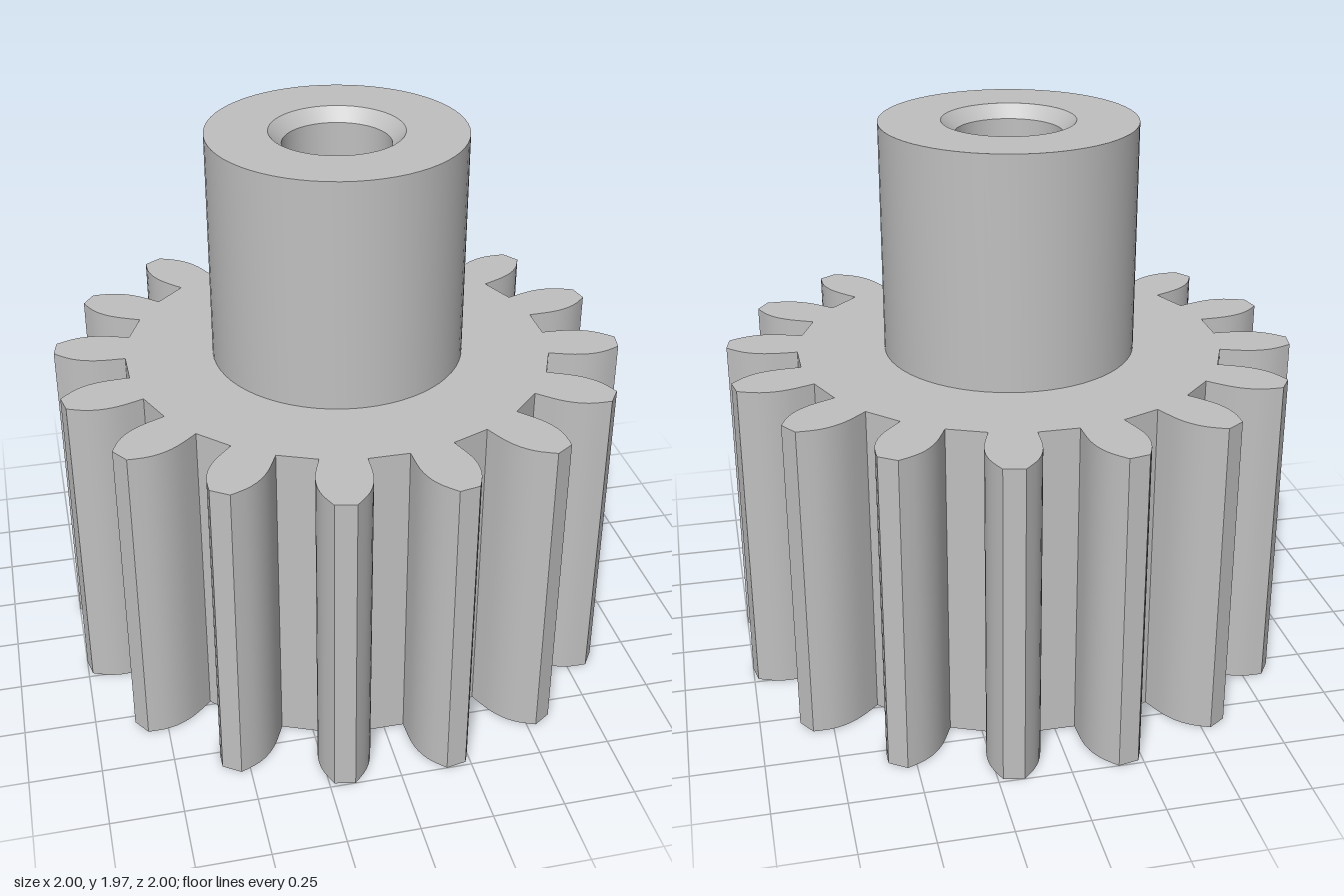
import * as THREE from 'three';
import { toCreasedNormals } from 'three/addons/utils/BufferGeometryUtils.js';

const TEETH = 16, GEAR_TOP = 1.15, COLLAR_TOP = 1.97;
const COLLAR_R = 0.447, BORE_R = 0.187, FLAT_Z = 0.085, POCKET_TOP = 1.0;

// Closed gear outline as (x, z), running from the front towards +x
function gearOutline() {
  // One flank: half width across the tooth, distance from the centre
  const flank = new THREE.SplineCurve([
    [0.0785, 0.754], [0.089, 0.82], [0.092, 0.87],
    [0.085, 0.92], [0.067, 0.965], [0.036, 1.012],
  ].map(([w, r]) => new THREE.Vector2(w, r))).getPoints(10);
  const tooth = [
    ...flank.map(p => [-p.x, p.y]),
    ...flank.slice().reverse().map(p => [p.x, p.y]),
  ];
  const points = [];
  for (let i = 0; i < TEETH; i++) {
    const a = (i + 0.5) * 2 * Math.PI / TEETH, s = Math.sin(a), c = Math.cos(a);
    for (const [w, r] of tooth) points.push(new THREE.Vector2(r * s + w * c, r * c - w * s));
  }
  return points;
}

// Flat gear face with a round opening
function gearFace(outline, holeRadius) {
  const shape = new THREE.Shape(outline);
  shape.holes.push(new THREE.Path().absarc(0, 0, holeRadius, 0, 2 * Math.PI, true));
  return new THREE.ShapeGeometry(shape, 32);
}

// Upright wall following the outline
function gearWall(outline) {
  const n = outline.length;
  const geometry = new THREE.PlaneGeometry(1, 1, n, 1);
  const pos = geometry.attributes.position;
  for (let i = 0; i < pos.count; i++) {
    const p = outline[(i % (n + 1)) % n];
    pos.setXYZ(i, p.x, i <= n ? GEAR_TOP : 0, p.y);
  }
  return toCreasedNormals(geometry, 0.65);
}

export function createModel() {
  const model = new THREE.Group();
  model.name = 'pinionGear';
  const steel = new THREE.MeshStandardMaterial({ color: 0xc0c0c0 });
  steel.name = 'steel';

  const add = (name, geometry, y = 0) => {
    const mesh = new THREE.Mesh(geometry, steel);
    mesh.name = name;
    mesh.position.y = y;
    model.add(mesh);
  };

  // Toothed body
  const outline = gearOutline();
  add('gearTeeth', gearWall(outline));
  add('gearTopFace', gearFace(outline, COLLAR_R).rotateX(-Math.PI / 2), GEAR_TOP);
  add('gearBottomFace', gearFace(outline, 0.35).rotateX(Math.PI / 2));

  // Collar, chamfered bore and wider pocket below, in one turned profile
  const profile = [
    [COLLAR_R, GEAR_TOP], [COLLAR_R, COLLAR_TOP], [0.232, COLLAR_TOP],
    [BORE_R, COLLAR_TOP - 0.045], [BORE_R, POCKET_TOP],
    [0.29, POCKET_TOP], [0.29, 0.06], [0.35, 0],
  ].map(([r, y]) => new THREE.Vector2(r, y));
  add('collarAndBore', toCreasedNormals(new THREE.LatheGeometry(profile, 64), 0.5));

  // Flat that makes the bore D-shaped
  const a = Math.asin(FLAT_Z / BORE_R);
  const segment = new THREE.Shape().absarc(0, 0, BORE_R, Math.PI + a, 2 * Math.PI - a, false);
  const flat = new THREE.ExtrudeGeometry(segment, {
    depth: COLLAR_TOP - 0.13 - POCKET_TOP, bevelEnabled: false, curveSegments: 24,
  });
  add('boreFlat', flat.rotateX(-Math.PI / 2), POCKET_TOP);

  return model;
}
